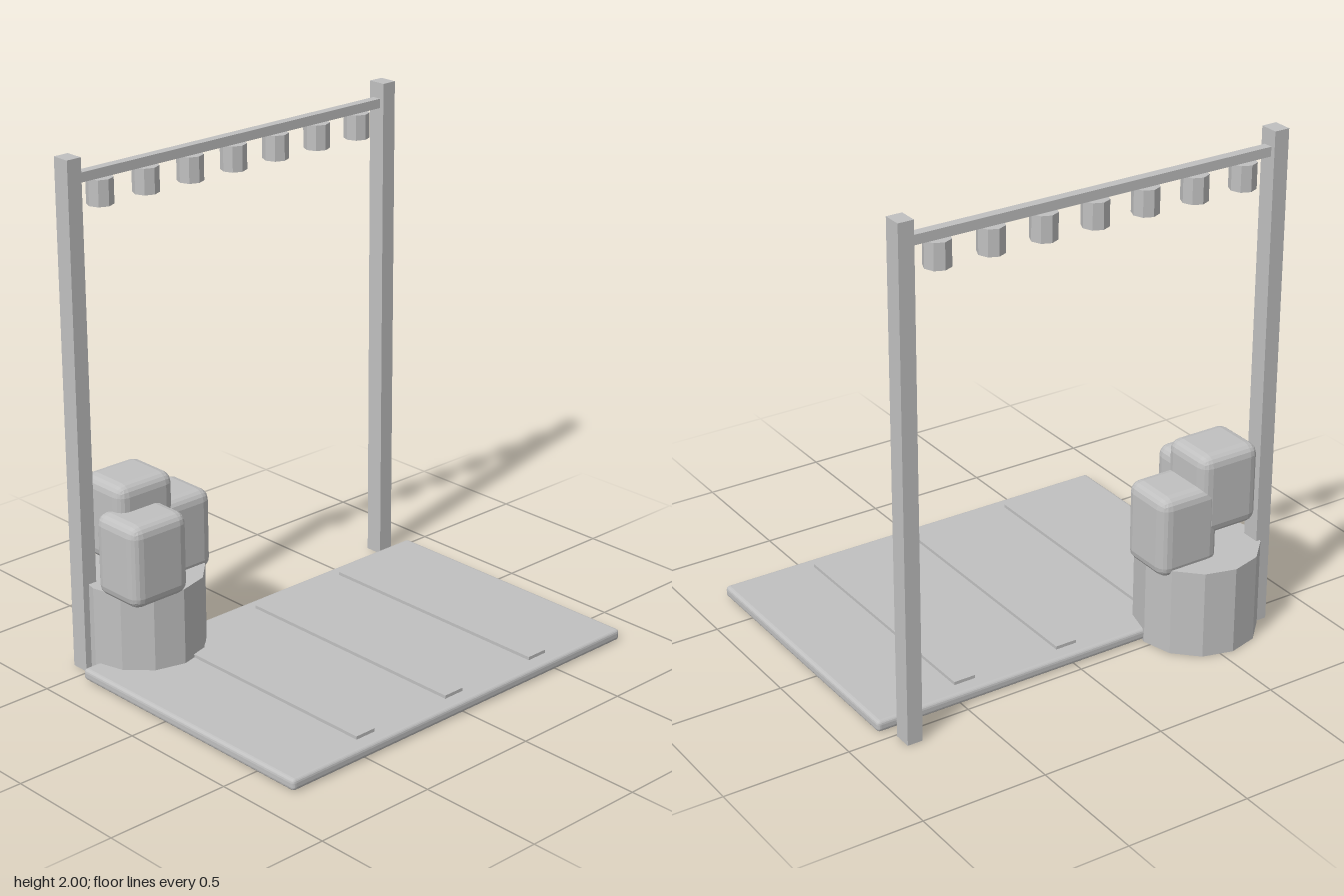
import * as THREE from 'three';
import { RoundedBoxGeometry } from 'three/addons/geometries/RoundedBoxGeometry.js';

export function createModel() {
  const group = new THREE.Group();
  const grey = new THREE.MeshStandardMaterial({ color: 0xc0c0c0, flatShading: true });
  grey.name = 'grey';

  const add = (name, geometry, x, y, z) => {
    const mesh = new THREE.Mesh(geometry, grey);
    mesh.name = name;
    mesh.position.set(x, y, z);
    group.add(mesh);
    return mesh;
  };
  const box = (w, h, d) => new THREE.BoxGeometry(w, h, d);

  // Deck with softened edges and three raised slats
  add('deck', new RoundedBoxGeometry(1.714, 0.046, 1.164, 2, 0.015), 0, 0.026, 0.12);
  for (const x of [-0.45, 0, 0.45]) add('slat', box(0.09, 0.02, 1.04), x, 0.052, 0.12);

  // Light frame: two posts and a crossbar
  const frameZ = -0.545;
  for (const side of [-1, 1]) add('post', box(0.062, 2, 0.074), side * 0.775, 1, frameZ);
  add('crossbar', box(1.5, 0.037, 0.037), 0, 1.919, frameZ);

  // Hanging lamps
  const lamp = new THREE.CylinderGeometry(0.051, 0.051, 0.1, 8);
  for (let i = -3; i <= 3; i++) add('lamp', lamp, i * 0.2117, 1.85, frameZ);

  // Planter with a clump of blocky foliage
  add('planter', new THREE.CylinderGeometry(0.24, 0.24, 0.355, 12), -0.55, 0.1775, -0.47);
  const leaf = new RoundedBoxGeometry(0.264, 0.33, 0.236, 2, 0.045);
  add('foliageFront', leaf, -0.665, 0.509, -0.327);
  add('foliageTop', leaf, -0.608, 0.61, -0.472);
  add('foliageRight', leaf, -0.428, 0.486, -0.472);

  return group;
}
